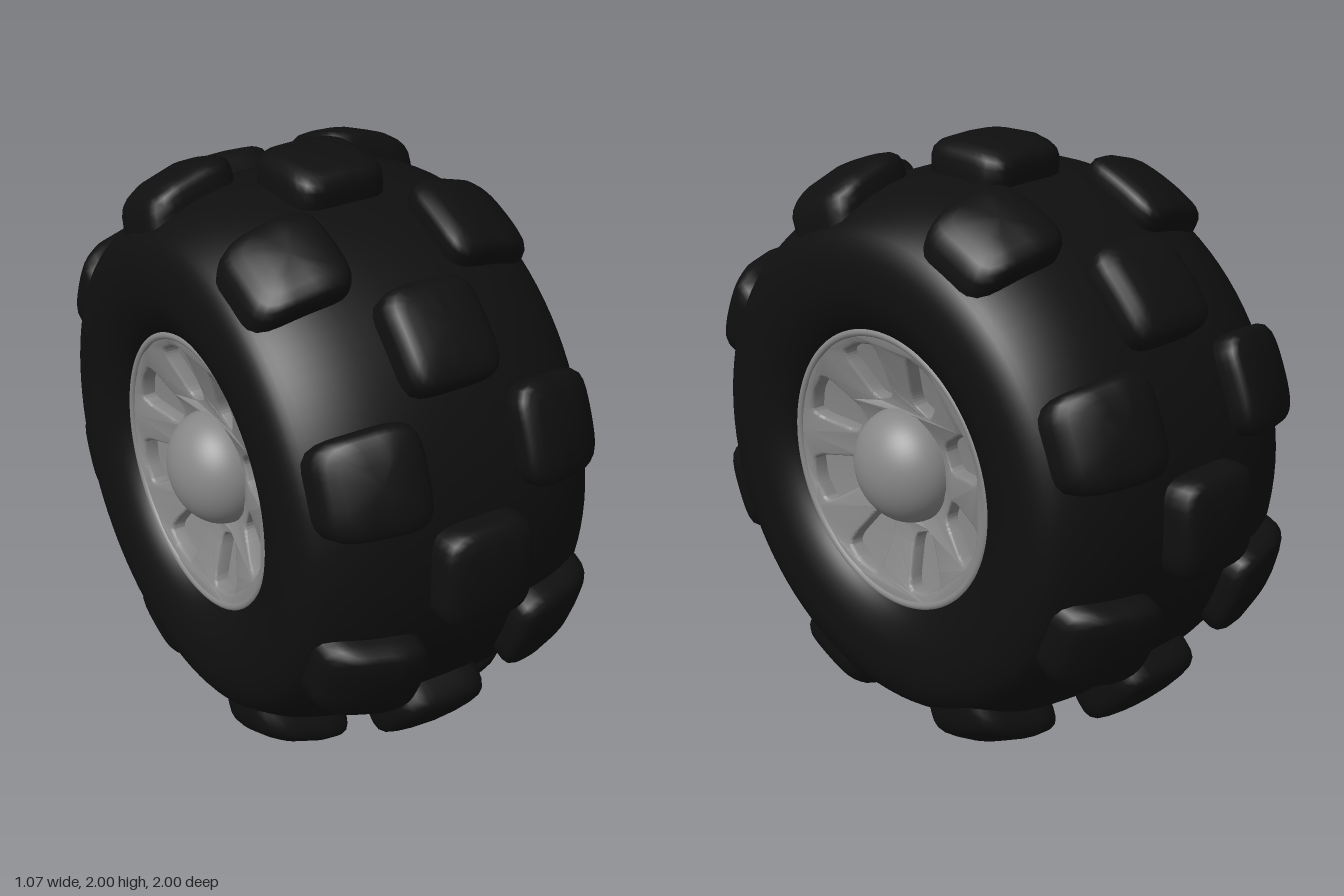
import * as THREE from 'three';
import { mergeVertices, toCreasedNormals } from 'three/addons/utils/BufferGeometryUtils.js';

const rubber = new THREE.MeshStandardMaterial({ color: 0x0f0f0f });
rubber.name = 'black rubber';
const metal = new THREE.MeshStandardMaterial({ color: 0x868686 });
metal.name = 'grey metal';

const V2 = (x, y) => new THREE.Vector2(x, y);

function mesh(name, geometry, material) {
  const m = new THREE.Mesh(geometry, material);
  m.name = name;
  return m;
}

// Lathe whose axis is turned from y to x
const latheX = (points, segments) => new THREE.LatheGeometry(points, segments).rotateZ(-Math.PI / 2);

// Half of the tyre section as [radius, x], from rim seat to crown
const section = [
  [0.44, 0.43], [0.46, 0.465], [0.5, 0.497], [0.56, 0.522], [0.62, 0.53], [0.68, 0.528], [0.74, 0.512],
  [0.79, 0.475], [0.838, 0.39], [0.872, 0.28], [0.89, 0.14], [0.895, 0],
];

// Tyre radius under the tread at a given x
function crown(x) {
  const a = Math.min(Math.abs(x), 0.5);
  for (let i = section.length - 1; i > 0; i--) {
    const [r0, x0] = section[i], [r1, x1] = section[i - 1];
    if (a <= x1) return r0 + (r1 - r0) * (a - x0) / (x1 - x0);
  }
  return 0.79;
}

function tyreGeometry() {
  const half = section.map(([r, x]) => V2(r, -x));
  const other = section.slice(0, -1).reverse().map(([r, x]) => V2(r, x));
  return latheX(new THREE.SplineCurve([...half, ...other]).getPoints(72), 96);
}

// Pillow-shaped block with a rounded square plan, wrapped over the crown
function treadBlock(x0, halfWidth, height) {
  const profile = [[1.02, -0.4], [1.01, 0.2], [0.99, 0.52], [0.94, 0.74], [0.84, 0.88], [0.66, 0.95], [0.4, 0.99], [0, 1]]
    .map(([s, h]) => V2(s, h));
  let g = new THREE.LatheGeometry(profile, 40);
  g.deleteAttribute('uv');
  g.deleteAttribute('normal');
  const p = g.attributes.position;
  const n = 5, halfAngle = 0.178;
  for (let i = 0; i < p.count; i++) {
    const u = p.getX(i), v = p.getZ(i), s = Math.hypot(u, v);
    const k = s > 1e-6 ? s / Math.pow(Math.abs(u) ** n + Math.abs(v) ** n, 1 / n) : 0;
    const x = x0 + u * k * halfWidth;
    const angle = v * k * halfAngle;
    const r = crown(x) + p.getY(i) * height;
    p.setXYZ(i, x, r * Math.cos(angle), r * Math.sin(angle));
  }
  g = mergeVertices(g, 1e-5);
  g.computeVertexNormals();
  return g;
}

// Closed path through corners, each rounded by a fraction
function roundedPath(corners, f) {
  const path = new THREE.Path();
  corners.forEach((c, i) => {
    const prev = corners[(i + corners.length - 1) % corners.length];
    const next = corners[(i + 1) % corners.length];
    const a = c.clone().lerp(prev, f), b = c.clone().lerp(next, f);
    if (i === 0) path.moveTo(a.x, a.y); else path.lineTo(a.x, a.y);
    path.quadraticCurveTo(c.x, c.y, b.x, b.y);
  });
  path.closePath();
  return path;
}

// Dished rim face with eight windows, facing +x
function rimFaceGeometry() {
  const shape = new THREE.Shape();
  shape.absarc(0, 0, 0.455, 0, Math.PI * 2, false);
  const bore = new THREE.Path();
  bore.absarc(0, 0, 0.16, 0, Math.PI * 2, true);
  shape.holes.push(bore);
  for (let i = 0; i < 8; i++) {
    const corners = [V2(0.225, -0.045), V2(0.395, -0.082), V2(0.412, 0), V2(0.395, 0.082), V2(0.225, 0.045)];
    const angle = (i + 0.5) * Math.PI / 4;
    shape.holes.push(roundedPath(corners.map((c) => c.rotateAround(V2(0, 0), angle)), 0.28));
  }
  const bevel = 0.01;
  const g = new THREE.ExtrudeGeometry(shape, {
    depth: 0.06, bevelThickness: bevel, bevelSize: bevel, bevelOffset: -bevel, bevelSegments: 3, curveSegments: 32,
  });
  const p = g.attributes.position;
  for (let i = 0; i < p.count; i++) {
    const r = Math.hypot(p.getX(i), p.getY(i));
    p.setZ(i, p.getZ(i) - 0.07 + 0.385 + 0.3 * (r - 0.19));
  }
  return toCreasedNormals(g.rotateY(Math.PI / 2), 0.6);
}

function createRim() {
  const rim = new THREE.Group();
  rim.add(mesh('rimFace', rimFaceGeometry(), metal));

  // Floor of the window pockets
  rim.add(mesh('pocketFloor', latheX([V2(0.45, 0.415), V2(0.19, 0.335), V2(0, 0.335)], 64), metal));

  // Rounded outer lip
  rim.add(mesh('rimLip', new THREE.TorusGeometry(0.448, 0.014, 12, 96).rotateY(Math.PI / 2).translate(0.455, 0, 0), metal));

  // Domed hub cap
  const dome = [V2(0.188, 0.34)];
  for (let i = 0; i <= 16; i++) {
    const t = i / 16 * Math.PI / 2;
    dome.push(V2(0.188 * Math.cos(t), 0.385 + 0.152 * Math.sin(t)));
  }
  rim.add(mesh('hubCap', latheX(dome, 48), metal));
  return rim;
}

export function createModel() {
  const wheel = new THREE.Group();
  wheel.name = 'wheel';
  const body = new THREE.Group();
  body.name = 'wheelBody';
  body.position.y = 1;
  wheel.add(body);

  body.add(mesh('tyre', tyreGeometry(), rubber));

  // Tread: a middle row and two staggered shoulder rows
  const rows = [
    ['middleTreadBlock', 0, 0.158, 0.105, 0],
    ['leftTreadBlock', 0.325, 0.158, 0.092, 0.5],
    ['rightTreadBlock', -0.325, 0.158, 0.092, 0.5],
  ];
  for (const [name, x, halfWidth, height, stagger] of rows) {
    const geometry = treadBlock(x, halfWidth, height);
    for (let i = 0; i < 8; i++) {
      const block = mesh(name, geometry, rubber);
      block.rotation.x = (i + stagger) * Math.PI / 4;
      body.add(block);
    }
  }

  // Rims on both sides
  const leftRim = createRim();
  leftRim.name = 'leftRim';
  const rightRim = leftRim.clone();
  rightRim.name = 'rightRim';
  rightRim.rotation.y = Math.PI;
  body.add(leftRim, rightRim);

  return wheel;
}
